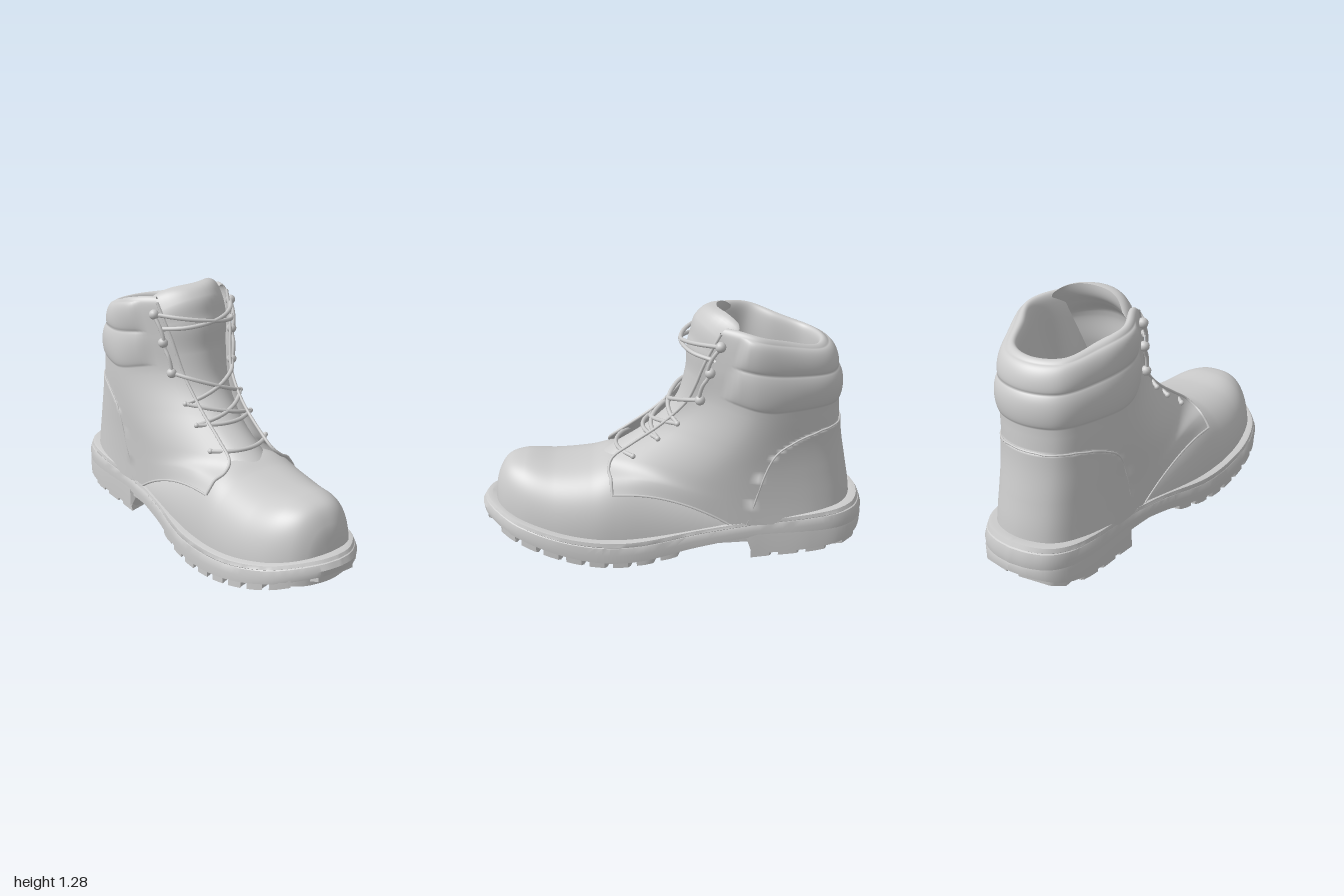
import * as THREE from 'three';
import { ParametricGeometry } from 'three/addons/geometries/ParametricGeometry.js';
import { toCreasedNormals } from 'three/addons/utils/BufferGeometryUtils.js';

const V = (x, y, z) => new THREE.Vector3(x, y, z);
const { lerp, smoothstep: ss, clamp } = THREE.MathUtils;
const mat = new THREE.MeshStandardMaterial({ color: 0xcccccc, side: THREE.DoubleSide });

// smooth interpolation through [x, value] pairs
function interp(p) {
  const slope = i => {
    const a = p[Math.max(i - 1, 0)], b = p[Math.min(i + 1, p.length - 1)];
    return (b[1] - a[1]) / (b[0] - a[0]);
  };
  return x => {
    let i = 0;
    while (i < p.length - 2 && x > p[i + 1][0]) i++;
    const d = p[i + 1][0] - p[i][0], t = clamp((x - p[i][0]) / d, 0, 1);
    const a = t * t * (3 - 2 * t), b = t * (1 - t) * (1 - t), c = t * t * (t - 1);
    return p[i][1] * (1 - a) + p[i + 1][1] * a + d * (b * slope(i) + c * slope(i + 1));
  };
}

// sideways drift of the centre line
const zc = (x, y) => 0.045 * ss(x, 0.2, 0.95) - 0.025 * (1 - ss(x, -0.4, 0.3)) - 0.02 * ss(y, 0.5, 1.1);

// sole outline (x, half width) and height profiles
const OUT = [[-1, 0], [-0.985, 0.1], [-0.94, 0.19], [-0.85, 0.25], [-0.7, 0.28], [-0.4, 0.287], [-0.1, 0.315],
  [0.2, 0.368], [0.42, 0.375], [0.65, 0.345], [0.82, 0.275], [0.93, 0.17], [0.985, 0.08], [1, 0]];
const outline = new THREE.CatmullRomCurve3(OUT.map(([x, h]) => V(x, 0, h)));
const halfW = interp(OUT);
const yTop = interp([[-1, 0.275], [-0.6, 0.238], [-0.2, 0.192], [0.2, 0.145], [0.5, 0.152], [0.8, 0.2], [1, 0.25]]);
const yBase = interp([[-1, 0.16], [-0.4, 0.13], [-0.1, 0.085], [0.1, 0.045], [0.3, 0.03], [0.5, 0.048], [0.8, 0.115], [1, 0.175]]);
const yTread = interp([[-0.35, 0.11], [-0.1, 0.06], [0.1, 0.018], [0.3, 0.002], [0.5, 0.018], [0.8, 0.085], [1, 0.155]]);
const yHeel = interp([[-1, 0.1], [-0.85, 0.05], [-0.4, 0.008]]);

// shell rows: back x, back y, front x, front y, rear / middle / front half widths; the last three are the lining
const ROWS = [
  [-0.93, 0.2, 0.31, 0.375, 0.24, 0.287, 0.287], [-0.915, 0.33, 0.315, 0.44, 0.235, 0.288, 0.237],
  [-0.89, 0.46, 0.31, 0.51, 0.235, 0.287, 0.14], [-0.86, 0.62, 0.08, 0.68, 0.24, 0.295, 0.13],
  [-0.845, 0.78, -0.07, 0.84, 0.25, 0.3, 0.15], [-0.83, 0.96, -0.14, 1.03, 0.255, 0.305, 0.19],
  [-0.77, 1.1, -0.22, 1.21, 0.24, 0.3, 0.225], [-0.72, 1.08, -0.25, 1.19, 0.2, 0.25, 0.185],
  [-0.74, 0.8, -0.14, 0.85, 0.19, 0.24, 0.12], [-0.8, 0.3, 0.05, 0.3, 0.18, 0.22, 0.1]];
const cols = ROWS[0].map((_, k) => interp(ROWS.map((r, i) => [i, r[k]])));

// below 1 inside the heel counter
const counter = p => Math.pow(Math.max(0, p.x + 0.95) / 0.57, 3) + Math.pow(Math.max(0, p.y - 0.15) / 0.55, 3);

// point on the shaft: u runs from right facing round the back to left facing, v up and over the collar
function shell(u, v) {
  const [xb, yb, xf, yf, wr, wm, ze] = cols.map(c => c(v));
  const mid = lerp(xb, xf, 0.6 + 0.08 * ss(v, 4, 6));
  const half = [[xb + 0.05, 0.65 * wr], [xb + 0.2, wr], [mid, wm], [xf, ze]];
  const pts = [...half.map(([x, z]) => V(x, 0, -z)).reverse(), V(xb, 0, 0), ...half.map(([x, z]) => V(x, 0, z))];
  const p = new THREE.CatmullRomCurve3(pts).getPoint(u);
  const f = (p.x - xb) / (xf - xb);
  // rows climb forward: rounded at the quarter's lower edge, gently along the collar
  const hem = 1 - Math.pow(1 - clamp((f - 0.52) / 0.42, 0, 1), 2);
  const rise = lerp(lerp(hem, ss(f, 0.45, 0.9), ss(v, 0, 1.5)), ss(f, -0.1, 1), ss(v, 4, 5.5));
  p.y = lerp(yb, yf, rise);
  // raised heel counter and two padded collar rolls
  let out = v < 6 ? 0.008 * (1 - ss(counter(p), 0.97, 1.05)) : 0;
  const s = (v - 4.25) / 0.9;
  if (s > 0 && s < 2) out += 0.018 * Math.sqrt(Math.abs(Math.sin(Math.PI * s))) * (1 - ss(f, 0.74, 0.84));
  p.addScaledVector(V(Math.min(0, p.x - xb - 0.3), 0, p.z).normalize(), out);
  p.z += zc(p.x, p.y);
  return p;
}

// tongue centre line (height, x)
const SPINE = [[0.46, 0.36], [0.63, 0.1], [0.78, -0.035], [0.95, -0.085], [1.1, -0.095], [1.2, -0.14], [1.28, -0.215]];
const spine = new THREE.CatmullRomCurve3(SPINE.map(([y, x]) => V(x, y, 0)));
const spineX = interp(SPINE);

export function createModel() {
  const boot = new THREE.Group();
  boot.name = 'boot';
  const add = (name, geo, parent = boot) => {
    const m = new THREE.Mesh(geo, mat);
    m.name = name;
    parent.add(m);
    return m;
  };
  const group = name => {
    const g = new THREE.Group();
    g.name = name;
    boot.add(g);
    return g;
  };
  const surface = (fn, nu, nv) => new ParametricGeometry((u, v, t) => t.copy(fn(u, v)), nu, nv);
  const tube = (pts, r, closed = false) => new THREE.TubeGeometry(new THREE.CatmullRomCurve3(pts, closed), pts.length * 8, r, 8, closed);

  // shaft with quarters, padded collar and lining
  add('shaft', surface((u, v) => shell(u, v * 9), 100, 160));
  const insole = add('insole', new THREE.CircleGeometry(1, 32).rotateX(-Math.PI / 2).scale(0.5, 1, 0.23));
  insole.position.set(-0.34, 0.33, -0.02);

  // toe: arched sections along the instep line (x, top height, half width)
  const ridge = new THREE.CatmullRomCurve3([[-0.4, 0.29, 0.272], [0, 0.44, 0.308], [0.28, 0.502, 0.33], [0.42, 0.47, 0.332],
    [0.6, 0.453, 0.31], [0.76, 0.463, 0.26], [0.85, 0.44, 0.2], [0.9, 0.37, 0.135], [0.923, 0.27, 0.06], [0.93, 0.15, 0]].map(a => V(...a)));
  const e = 2 / 2.6;
  add('toe', surface((u, v) => {
    const r = ridge.getPoint(v), a = u * Math.PI, c = Math.cos(a);
    const z = r.z * Math.sign(c) * Math.pow(Math.abs(c), e);
    return V(r.x, lerp(0.1, r.y, Math.pow(Math.max(0, Math.sin(a)), e)), z + zc(r.x, 0));
  }, 48, 72));

  // padded tongue: flattened rings along its centre line, the top tilted and bowed backwards
  add('tongue', surface((u, v) => {
    const p = spine.getPoint(v), t = spine.getTangent(v), a = u * Math.PI * 2;
    const end = Math.sqrt(Math.max(0, 1 - Math.pow(ss(v, 0.86, 1), 2)));
    const w = (0.13 + 0.1 * ss(v, 0.1, 0.8)) * (0.82 + 0.18 * end), z = w * Math.cos(a);
    const thick = Math.sin(a) * (0.02 + 0.02 * ss(v, 0.7, 0.85)) * end;
    const top = ss(v, 0.75, 1), bow = 2.5 * z * z, off = thick - bow * (1 - top);
    const droop = top * (z * 0.07 + 0.045 * Math.pow(z / w, 4));
    return V(p.x + t.y * off - bow * top, p.y - t.x * off - droop, z + zc(p.x, p.y));
  }, 40, 60));

  // sole layers: rings [scale, height fraction]; the first and last are squeezed to the centre line
  const layer = (name, t1, rings, top, bottom, shift = 0) => {
    const n = rings.length - 1;
    add(name, toCreasedNormals(surface((u, v) => {
      const i = Math.round(v * n), [k, f] = rings[i], s = 2 * u - 1, m = Math.abs(s);
      const p = outline.getPoint(Math.min(1, m / 0.9) * t1);
      const close = m > 0.9 ? (1 - m) / 0.1 : 1, flat = i === 0 || i === n ? 0 : 1;
      const x = p.x * k + (m >= 0.9 ? shift * (1 - f) : 0);
      return V(x, lerp(top(p.x), bottom(p.x), f), Math.sign(s) * p.z * k * close * flat + zc(p.x, 0));
    }, 160, n), 0.6));
  };
  layer('sole', 1, [[0.95, 0], [0.95, 0], [0.972, 0.02], [0.982, 0.2], [0.978, 0.23], [0.986, 0.26], [1, 0.6], [0.995, 1], [0.995, 1]], yTop, yBase);
  layer('heelBlock', 5 / 13, [[0.99, 0], [0.99, 0], [1, 0.3], [0.998, 1], [0.998, 1]], () => 0.175, x => yHeel(x) + 0.02, 0.05);

  // tread lugs follow the underside and stop at the sole's edge
  const tread = group('tread');
  const lug = (name, x, z0, z1, wide, floor, high, turn = 0) => {
    const geo = new THREE.BoxGeometry(wide, 1, Math.abs(z1 - z0), 2, 1, 6).rotateY(turn).translate(x, 0, (z0 + z1) / 2);
    const pos = geo.attributes.position;
    for (let i = 0; i < pos.count; i++) {
      const px = clamp(pos.getX(i), -0.98, 0.98), lim = halfW(px) * 0.985;
      pos.setXYZ(i, px, floor(px) + (pos.getY(i) > 0 ? high : 0), clamp(pos.getZ(i), -lim, lim) + zc(px, 0));
    }
    add(name, toCreasedNormals(geo, 0.5), tread);
  };
  for (const side of [1, -1]) {
    for (let i = 0; i < 8; i++) {
      const x = i * 0.118;
      lug('soleLug', x, side * 0.12, side * (halfW(x) + 0.02), 0.08, yTread, 0.045, side * 0.3);
    }
    for (let i = 0; i < 4; i++) {
      const x = -0.9 + i * 0.142;
      lug('heelLug', x, side * 0.02, side * (halfW(x) + 0.02), 0.1, yHeel, 0.04, side * 0.25);
    }
  }
  for (let i = 0; i < 7; i++) lug('centreLug', 0.06 + i * 0.11, -0.06, 0.06, 0.065, x => yTread(x) + 0.006, 0.035, 0.4);
  for (let i = 0; i < 10; i++) {
    const x = -0.33 + i * 0.03, w = halfW(x) * 0.92;
    lug('shankRib', x, -w, w, 0.014, px => yBase(px) - 0.012, 0.02);
  }
  lug('toeLug', 0.93, -0.11, 0.11, 0.07, yTread, 0.04);
  const oval = Array.from({ length: 20 }, (_, i) => {
    const a = i / 20 * Math.PI * 2, x = 0.4 + 0.42 * Math.cos(a);
    return V(x, yTread(x) + 0.02, 0.1 * Math.sin(a) + zc(x, 0));
  });
  add('treadRing', tube(oval, 0.014, true), tread);

  // raised edges and seams of the quarters, eyelets and hooks
  const trim = group('edgeTrim'), hardware = group('hooks'), laces = group('laces');
  const at = (side, s, v) => shell((1 + side * s) / 2, v);
  const levels = [2.15, 2.7, 3.2, 4.05, 4.85, 5.55];
  const eyelet = (side, v) => at(side, 0.95, v).add(V(0.01, 0.01, side * 0.012));
  for (const side of [1, -1]) {
    const lower = [], facing = [], seam = [];
    for (let i = 0; i <= 12; i++) {
      lower.push(at(side, 0.71 + 0.29 * i / 12, 0));
      facing.push(at(side, 1, i / 2));
      // climb the shell until the counter's border is met
      const s = 0.672 * i / 12;
      let v = 0;
      while (v < 4 && counter(at(side, s, v)) < 1) v += 0.02;
      seam.push(at(side, s, v));
    }
    add('quarterEdge', tube(lower, 0.006), trim);
    add('facingEdge', tube(facing, 0.008), trim);
    add('counterSeam', tube(seam, 0.005), trim);
    levels.forEach((v, i) => {
      const hook = add(i < 3 ? 'eyelet' : 'hook', new THREE.SphereGeometry(i < 3 ? 0.014 : 0.026, 14, 10), hardware);
      hook.position.copy(eyelet(side, v));
    });
    // lace looping up the outside of the hooks
    add('sideLace', tube([0, 1, 2, 3, 4, 5, 6].map(i => at(side, 0.95, lerp(levels[3], levels[5], i / 6))
      .add(V(0.025 - 0.01 * Math.cos(i * Math.PI * 2 / 3), 0, side * 0.012))), 0.01), laces);
  }

  // laces lying over the tongue
  const cross = (va, vb) => {
    const a = eyelet(1, va), b = eyelet(-1, vb);
    const pts = [0, 0.17, 0.34, 0.5, 0.66, 0.83, 1].map(t => {
      const p = a.clone().lerp(b, t), z = p.z - zc(p.x, p.y);
      if (t > 0 && t < 1) p.x = Math.max(p.x + 0.01, spineX(p.y) + 0.058 - 2.5 * z * z);
      return p;
    });
    add('lace', tube(pts, 0.011), laces);
  };
  cross(levels[0], levels[0]);
  cross(levels[1], levels[1]);
  for (const [a, b] of [[levels[1], levels[2]], [levels[2], levels[3]], [5.2, levels[5]]]) {
    cross(a, b);
    cross(b, a);
  }
  return boot;
}
